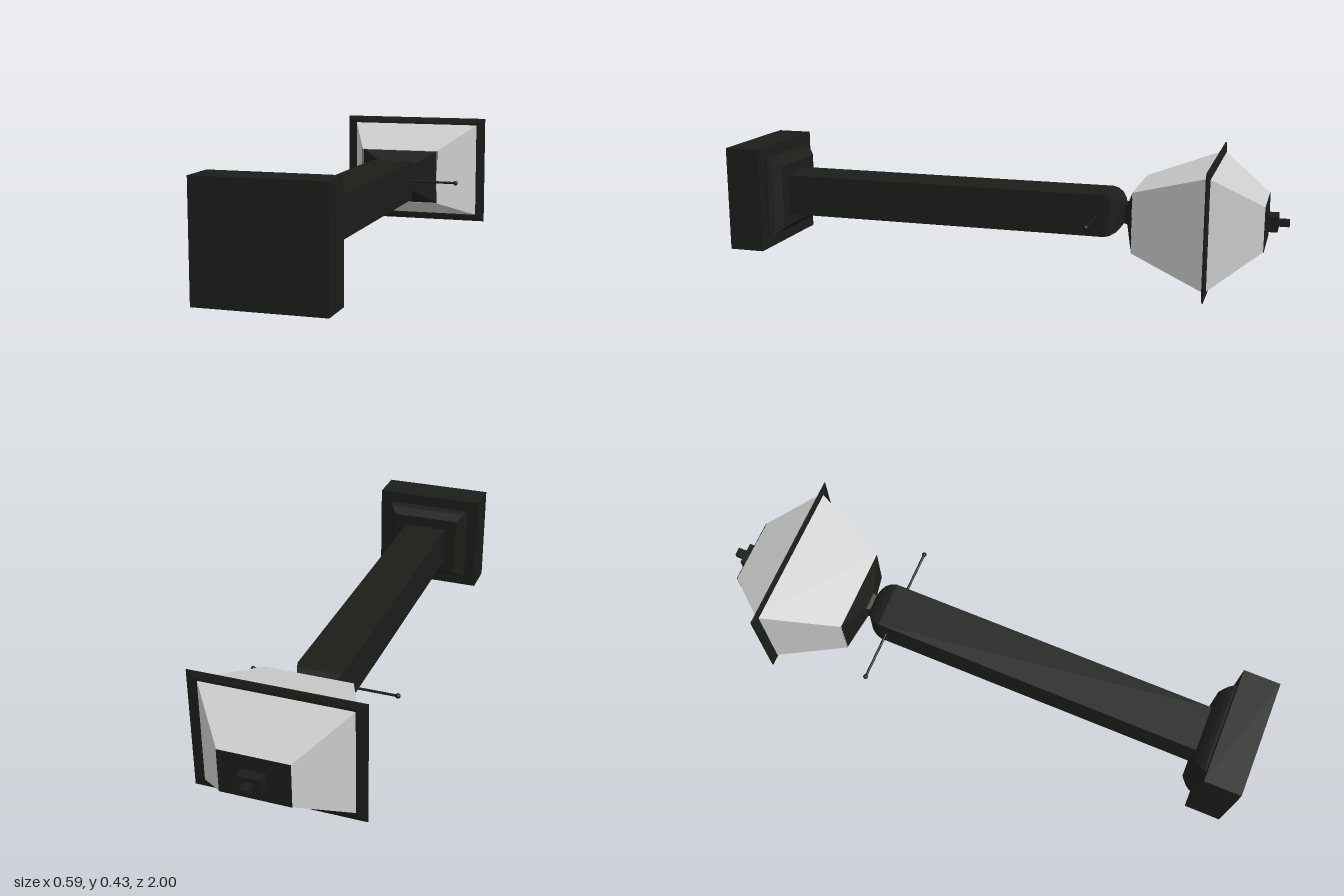
import * as THREE from 'three';

const AXIS_Y = 0.215;
const dark = new THREE.MeshStandardMaterial({ color: 0x1b1d19, flatShading: true });
const grey = new THREE.MeshStandardMaterial({ color: 0xcccccc, flatShading: true });

// Closed rectangular loft along z; sections are [z, halfWidth, halfHeight] with z decreasing.
function loft(sections) {
  const signs = [[1, 1], [-1, 1], [-1, -1], [1, -1]];
  const rings = sections.map(([z, w, h]) => signs.map(([sx, sy]) => [sx * w, sy * h, z]));
  const pos = [];
  const quad = (a, b, c, d) => pos.push(...a, ...b, ...c, ...a, ...c, ...d);
  for (let r = 0; r < rings.length - 1; r++) {
    for (let i = 0; i < 4; i++) {
      const j = (i + 1) % 4;
      quad(rings[r][i], rings[r + 1][i], rings[r + 1][j], rings[r][j]);
    }
  }
  const first = rings[0], last = rings[rings.length - 1];
  quad(first[0], first[1], first[2], first[3]);
  quad(last[3], last[2], last[1], last[0]);
  const geo = new THREE.BufferGeometry();
  geo.setAttribute('position', new THREE.Float32BufferAttribute(pos, 3));
  geo.computeVertexNormals();
  return geo;
}

export function createModel() {
  const lamp = new THREE.Group();
  lamp.name = 'lampPost';
  lamp.position.y = AXIS_Y;
  const add = (name, geometry, material = dark) => {
    const mesh = new THREE.Mesh(geometry, material);
    mesh.name = name;
    lamp.add(mesh);
    return mesh;
  };

  // Foot block and its rounded moulding
  add('base', loft([[1, 0.21, 0.19], [0.87, 0.21, 0.19]]));
  add('baseMoulding', loft([
    [0.875, 0.165, 0.148], [0.862, 0.163, 0.146], [0.845, 0.153, 0.139],
    [0.83, 0.14, 0.126], [0.82, 0.13, 0.115],
  ]));

  // Square post with a domed end
  add('post', loft([
    [0.83, 0.083, 0.074], [-0.38, 0.083, 0.074], [-0.4, 0.078, 0.07],
    [-0.42, 0.066, 0.059], [-0.435, 0.047, 0.042], [-0.447, 0.02, 0.018],
  ]));

  // Crossbar with a small knob at each end
  const bar = add('crossbar', new THREE.CylinderGeometry(0.0045, 0.0045, 0.52, 8));
  bar.rotation.z = Math.PI / 2;
  bar.position.z = -0.355;
  for (const side of [-1, 1]) {
    const knob = add('crossbarKnob', new THREE.SphereGeometry(0.009, 10, 8));
    knob.position.set(side * 0.26, 0, -0.355);
  }

  // Neck flaring out to carry the lantern
  add('neck', loft([[-0.44, 0.028, 0.032], [-0.454, 0.034, 0.036], [-0.49, 0.155, 0.105]]));

  // Lantern panes, rim and roof
  add('lanternPanes', loft([[-0.489, 0.154, 0.105], [-0.75, 0.263, 0.19]]), grey);
  add('lanternRim', loft([
    [-0.743, 0.262, 0.189], [-0.743, 0.268, 0.195], [-0.748, 0.295, 0.215],
    [-0.752, 0.295, 0.215], [-0.757, 0.268, 0.195], [-0.757, 0.258, 0.186],
  ]));
  add('lanternRoof', loft([[-0.75, 0.263, 0.19], [-0.924, 0.119, 0.076]]), grey);

  // Roof plate and stepped finial
  add('roofPlate', loft([[-0.921, 0.119, 0.076], [-0.926, 0.119, 0.076]]));
  add('finialBase', loft([[-0.925, 0.04, 0.026], [-0.963, 0.04, 0.026]]));
  add('finialTip', loft([[-0.96, 0.015, 0.011], [-1, 0.015, 0.011]]));

  const model = new THREE.Group();
  model.name = 'model';
  model.add(lamp);
  return model;
}
